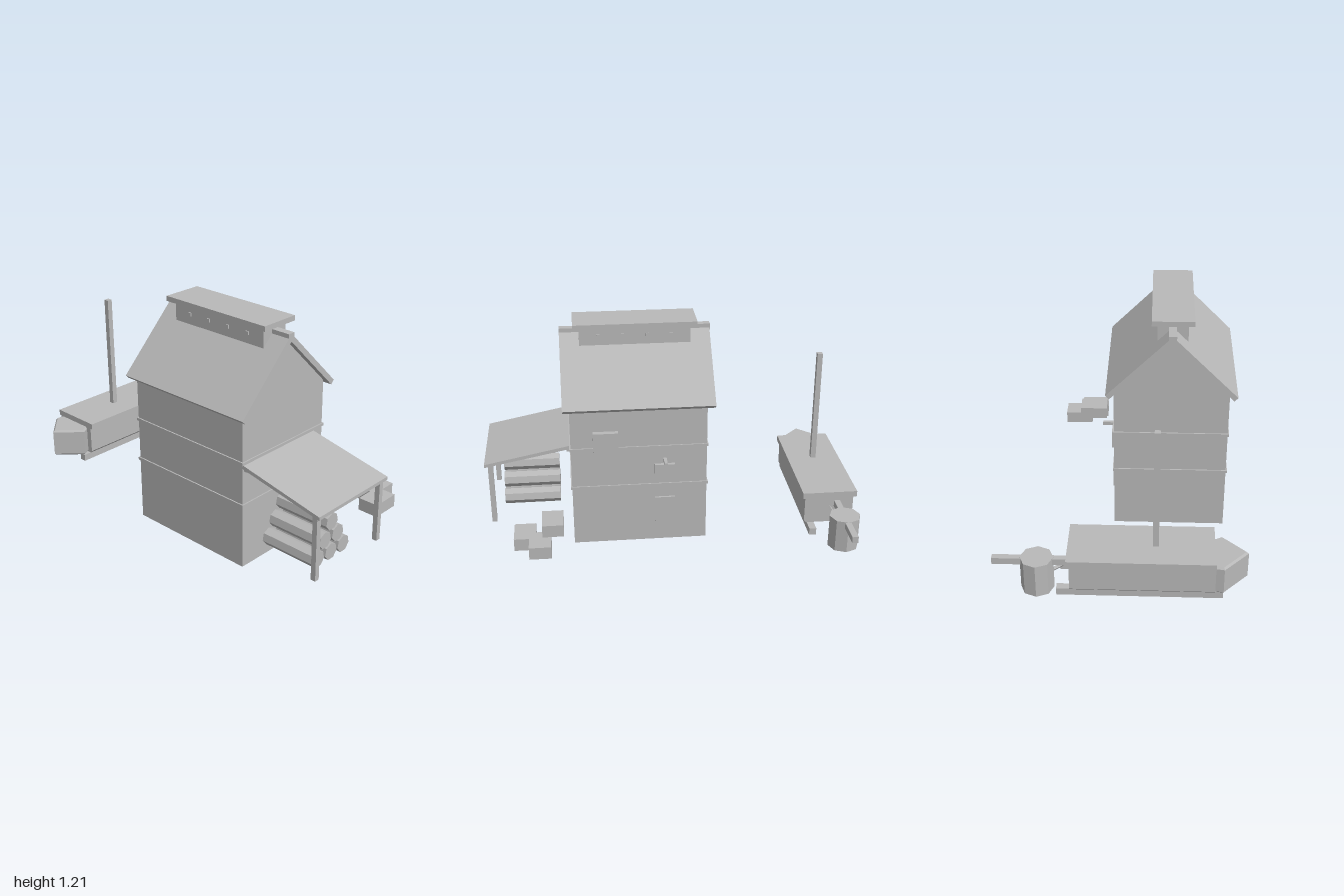
import * as THREE from 'three';

export function createModel() {
  const model = new THREE.Group();
  model.name = 'riversideBarn';
  const stone = new THREE.MeshStandardMaterial({ color: 0xb8b8b8, flatShading: true, side: THREE.DoubleSide });
  stone.name = 'plain grey';

  const add = (name, geometry, parent = model) => {
    const mesh = new THREE.Mesh(geometry, stone);
    mesh.name = name;
    parent.add(mesh);
    return mesh;
  };
  const group = (name) => {
    const g = new THREE.Group();
    g.name = name;
    model.add(g);
    return g;
  };
  // box given by its limits on each axis
  const box = (name, [x0, x1], [y0, y1], [z0, z1], parent) =>
    add(name, new THREE.BoxGeometry(x1 - x0, y1 - y0, z1 - z0)
      .translate((x0 + x1) / 2, (y0 + y1) / 2, (z0 + z1) / 2), parent);
  const shape = (points) => new THREE.Shape(points.map(([a, b]) => new THREE.Vector2(a, b)));
  const extrude = (points, depth) =>
    new THREE.ExtrudeGeometry(shape(points), { depth, bevelEnabled: false });

  // ---- House ----
  const house = group('house');
  const X = [-0.54, 0.058], Z = [-0.205, 0.53], mid = -0.24;

  // ground storey, open underneath
  const wallGeo = new THREE.BoxGeometry(X[1] - X[0], 0.34, Z[1] - Z[0]);
  const faces = Array.from(wallGeo.index.array);
  faces.splice(12, 12);
  wallGeo.setIndex(faces);
  wallGeo.clearGroups();
  wallGeo.translate((X[0] + X[1]) / 2, 0.17, (Z[0] + Z[1]) / 2);
  add('groundStoreyWalls', wallGeo, house);

  // upper storeys with gables
  add('upperStoreys', extrude([[X[0], 0.34], [X[1], 0.34], [X[1], 0.83], [mid, 1.13], [X[0], 0.83]],
    Z[1] - Z[0]).translate(0, 0, Z[0]), house);
  for (const y of [0.34, 0.57]) box('floorBand', [-0.547, 0.065], [y, y + 0.015], [-0.212, 0.537], house);

  // roof
  add('roof', extrude([[-0.58, 0.823], [-0.56, 0.803], [mid, 1.123], [0.08, 0.803], [0.1, 0.823], [mid, 1.163]],
    0.81).translate(0, 0, -0.245), house);
  box('ridgeBeam', [-0.26, -0.22], [1.13, 1.165], [-0.248, 0.565], house);

  // ridge vent with small pegs on both sides
  box('ridgeVent', [-0.32, -0.163], [1.08, 1.185], [-0.135, 0.46], house);
  box('ventRoof', [-0.35, -0.133], [1.183, 1.21], [-0.17, 0.493], house);
  for (let i = 0; i < 4; i++) {
    const z = -0.032 + i * 0.13;
    box('ventPeg', [-0.327, -0.156], [1.128, 1.146], [z - 0.009, z + 0.009], house);
  }

  // shutters, door and hook on the right wall
  box('upperShutter', [0.05, 0.088], [0.568, 0.68], [0.275, 0.41], house);
  box('middleShutter', [0.05, 0.077], [0.373, 0.475], [-0.03, 0.08], house);
  box('sideDoor', [0.05, 0.07], [0.118, 0.27], [-0.03, 0.08], house);
  box('hoistPeg', [0.05, 0.127], [0.49, 0.508], [0.015, 0.032], house);

  // ---- Lean-to ----
  const leanTo = group('leanTo');
  // profile in (z, y), swept along x
  add('leanToRoof', extrude([[-0.53, 0.57], [-1, 0.475], [-1, 0.457], [-0.53, 0.55]], 0.525)
    .rotateY(Math.PI / 2).translate(-0.54, 0, 0), leanTo);
  box('wallPlate', [-0.53, -0.02], [0.533, 0.553], [0.53, 0.553], leanTo);
  box('frontBeam', [-0.53, -0.02], [0.443, 0.462], [0.953, 0.98], leanTo);
  for (const x of [-0.53, -0.047]) box('post', [x, x + 0.027], [0.117, 0.45], [0.954, 0.981], leanTo);

  // ---- Log pile ----
  const logs = group('logPile');
  for (let row = 0; row < 3; row++) {
    for (let i = 0; i < 3 - row; i++) {
      add('log', new THREE.CylinderGeometry(0.045, 0.045, 0.315, 7).rotateX(-Math.PI / 2)
        .translate(-0.425 + row * 0.048 + i * 0.096, 0.16 + row * 0.083, 0.757), logs);
    }
  }

  // ---- Crates ----
  const crates = group('crates');
  box('crate', [0.139, 0.297], [0.118, 0.187], [0.733, 0.848], crates);
  box('crate', [0.233, 0.39], [0.118, 0.187], [0.652, 0.768], crates);
  box('crate', [0.139, 0.297], [0.192, 0.26], [0.583, 0.697], crates);

  // ---- Barge ----
  const barge = group('barge');
  // hull section in (z, y) with chamfered lower edges, swept along x
  add('hull', extrude([[0.72, 0.32], [0.72, 0.178], [0.732, 0.165], [0.973, 0.165], [0.985, 0.178], [0.985, 0.32]],
    0.7).rotateY(Math.PI / 2).translate(-0.46, 0, 0), barge);
  box('bargeRoof', [-0.46, 0.253], [0.32, 0.352], [-1, -0.705], barge);

  // pointed bow with a chamfered bottom and top
  const bowGeo = new THREE.ExtrudeGeometry(
    shape([[-0.455, 0.965], [-0.497, 0.973], [-0.61, 0.853], [-0.497, 0.742], [-0.455, 0.765]]),
    { depth: 0.135, bevelThickness: 0.01, bevelSize: 0.009, bevelSegments: 1 });
  add('bow', bowGeo.rotateX(-Math.PI / 2).translate(0, 0.175, 0), barge);

  // skids and mast
  for (const z of [-0.967, -0.775]) box('skid', [-0.5, 0.305], [0.125, 0.163], [z, z + 0.038], barge);
  box('mast', [-0.187, -0.158], [0.35, 0.99], [-0.867, -0.838], barge);

  // eight-sided drum on its shaft, with a thin brace
  add('drum', new THREE.CylinderGeometry(0.082, 0.082, 0.18, 8).translate(0.402, 0.207, -0.897), barge);
  box('drumShaft', [0.23, 0.62], [0.26, 0.295], [-0.912, -0.88], barge);
  const brace = new THREE.LineCurve3(new THREE.Vector3(0.23, 0.255, -0.855), new THREE.Vector3(0.36, 0.2, -0.895));
  add('drumBrace', new THREE.TubeGeometry(brace, 1, 0.011, 4), barge);

  return model;
}
